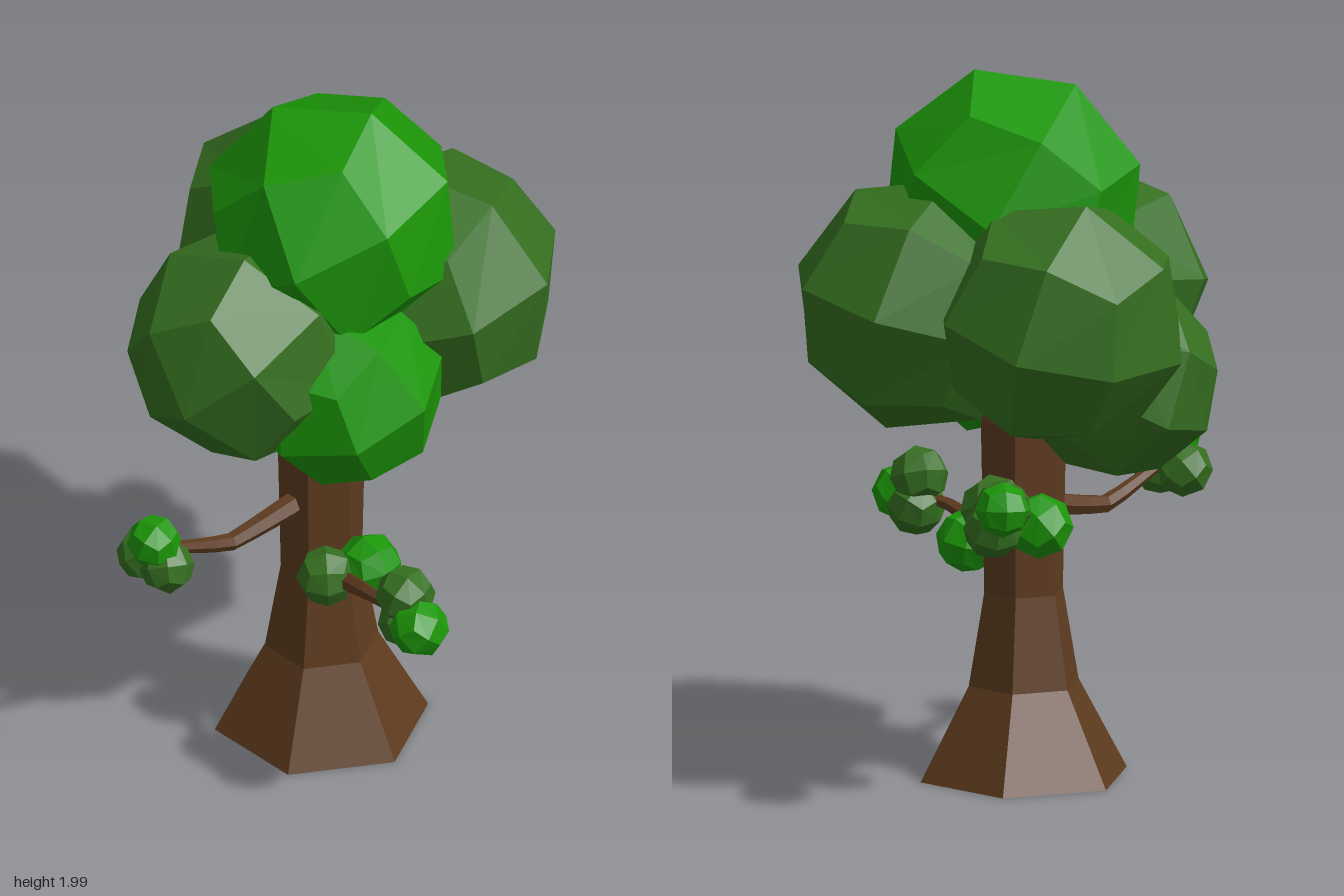
import * as THREE from 'three';

const mat = (name, color) => {
  const m = new THREE.MeshStandardMaterial({ color, flatShading: true });
  m.name = name;
  return m;
};

// Cube split 2x2 per side and puffed into a ball of 24 flat four-sided faces
function puffGeometry() {
  const g = new THREE.BoxGeometry(2, 2, 2, 2, 2, 2).toNonIndexed();
  const p = g.attributes.position, v = new THREE.Vector3();
  for (let i = 0; i < p.count; i++) {
    v.fromBufferAttribute(p, i);
    const corner = v.lengthSq() > 2.5;
    v.setLength(corner ? 0.975 : 1);
    p.setXYZ(i, v.x, v.y, v.z);
  }
  g.computeVertexNormals();
  return g;
}

// Bent branch, thinning towards its tip
function branchGeometry(points, r0, r1) {
  const curve = new THREE.CatmullRomCurve3(points.map((p) => new THREE.Vector3(...p)), false, 'catmullrom', 0.15);
  const segs = 8, sides = 6;
  const g = new THREE.TubeGeometry(curve, segs, r0, sides, false);
  const p = g.attributes.position, v = new THREE.Vector3();
  for (let i = 0; i < p.count; i++) {
    const t = Math.floor(i / (sides + 1)) / segs;
    const c = curve.getPointAt(t);
    v.fromBufferAttribute(p, i).sub(c).multiplyScalar(1 + (r1 / r0 - 1) * t).add(c);
    p.setXYZ(i, v.x, v.y, v.z);
  }
  return g;
}

export function createModel() {
  const tree = new THREE.Group();
  tree.name = 'tree';
  const bark = mat('bark brown', 0x5e3b1f);
  const bright = mat('bright leaf green', 0x1c9608);
  const dark = mat('dark leaf green', 0x356f20);
  const puff = puffGeometry();

  const add = (parent, name, geometry, material) => {
    const m = new THREE.Mesh(geometry, material);
    m.name = name;
    parent.add(m);
    return m;
  };
  const addPuff = (parent, name, material, [x, y, z, r]) => {
    const m = add(parent, name, puff, material);
    m.position.set(x, y, z);
    m.scale.setScalar(r);
    return m;
  };
  // Turn a puff so one side centre points along axis, with another towards up
  const aim = (m, axis, up) => {
    m.up.set(...up);
    m.lookAt(new THREE.Vector3(...axis).add(m.position));
  };

  // Six-sided trunk with a flared foot
  const profile = [[0, 0], [0.299, 0], [0.159, 0.26], [0.114, 0.52], [0.124, 1.0], [0.1, 1.12], [0, 1.12]];
  const trunk = add(tree, 'trunk',
    new THREE.LatheGeometry(profile.map((p) => new THREE.Vector2(...p)), 6), bark);
  trunk.position.set(0.007, 0, -0.016);

  // Crown of six large puffs: name, colour, [x, y, z, radius], axis, up
  const crown = new THREE.Group();
  crown.name = 'crown';
  tree.add(crown);
  const puffs = [
    ['topFoliage', bright, [0.045, 1.635, -0.01, 0.37], [0.48, 0.48, 0.73], [-0.2, 0.88, -0.43]],
    ['frontFoliage', bright, [-0.06, 1.222, 0.145, 0.294], [0.14, 0.1, 0.98], [-0.35, 0.93, -0.05]],
    ['leftFoliage', dark, [0.33, 1.363, 0.088, 0.359], [0.34, 0.23, 0.91], [-0.15, 0.96, -0.19]],
    ['backFoliage', dark, [0.215, 1.355, -0.333, 0.359], [0.37, 0.25, 0.9], [0.03, 0.96, -0.28]],
    ['rightFoliage', dark, [-0.253, 1.345, -0.04, 0.333], [-0.33, 0.76, -0.55], [0.75, 0.46, -0.47]],
    ['lowBackFoliage', dark, [-0.08, 1.145, -0.28, 0.288], [-0.27, 0.86, -0.41], [0.6, 0.78, -0.1]],
  ];
  for (const [name, material, place, axis, up] of puffs) aim(addPuff(crown, name, material, place), axis, up);

  // Side branches with their leaf clusters: [bright?, x, y, z, radius]
  const branches = [
    {
      name: 'rightBranch',
      path: [[-0.04, 0.755, -0.02], [-0.31, 0.71, -0.04], [-0.56, 0.8, -0.05]],
      leaves: [[1, -0.59, 0.84, -0.04, 0.076], [0, -0.575, 0.77, -0.093, 0.08], [0, -0.57, 0.765, -0.01, 0.077]],
    },
    {
      name: 'leftBranch',
      path: [[0.04, 0.755, -0.08], [0.22, 0.825, -0.18], [0.38, 0.85, -0.25], [0.52, 0.87, -0.36]],
      leaves: [[0, 0.395, 0.85, -0.245, 0.096], [1, 0.3, 0.798, -0.33, 0.093], [0, 0.52, 0.83, -0.35, 0.083],
        [0, 0.49, 0.885, -0.36, 0.08], [1, 0.555, 0.9, -0.415, 0.077]],
    },
    {
      name: 'frontBranch',
      path: [[-0.03, 0.58, 0.03], [-0.1, 0.61, 0.2], [-0.15, 0.665, 0.36], [-0.16, 0.68, 0.52]],
      leaves: [[0, -0.15, 0.735, 0.5, 0.084], [1, -0.17, 0.675, 0.58, 0.083], [0, -0.145, 0.65, 0.505, 0.083],
        [1, -0.01, 0.622, 0.2, 0.09], [0, -0.125, 0.61, 0.15, 0.084]],
    },
  ];
  for (const b of branches) {
    const group = new THREE.Group();
    group.name = b.name;
    tree.add(group);
    add(group, b.name + 'Wood', branchGeometry(b.path, 0.036, 0.014), bark);
    b.leaves.forEach(([isBright, ...place], i) =>
      addPuff(group, 'leafCluster', isBright ? bright : dark, place)
        .rotation.set(0.3 + i * 0.7, 0.25 + i * 0.5, 0.2 - i * 0.4));
  }
  return tree;
}
